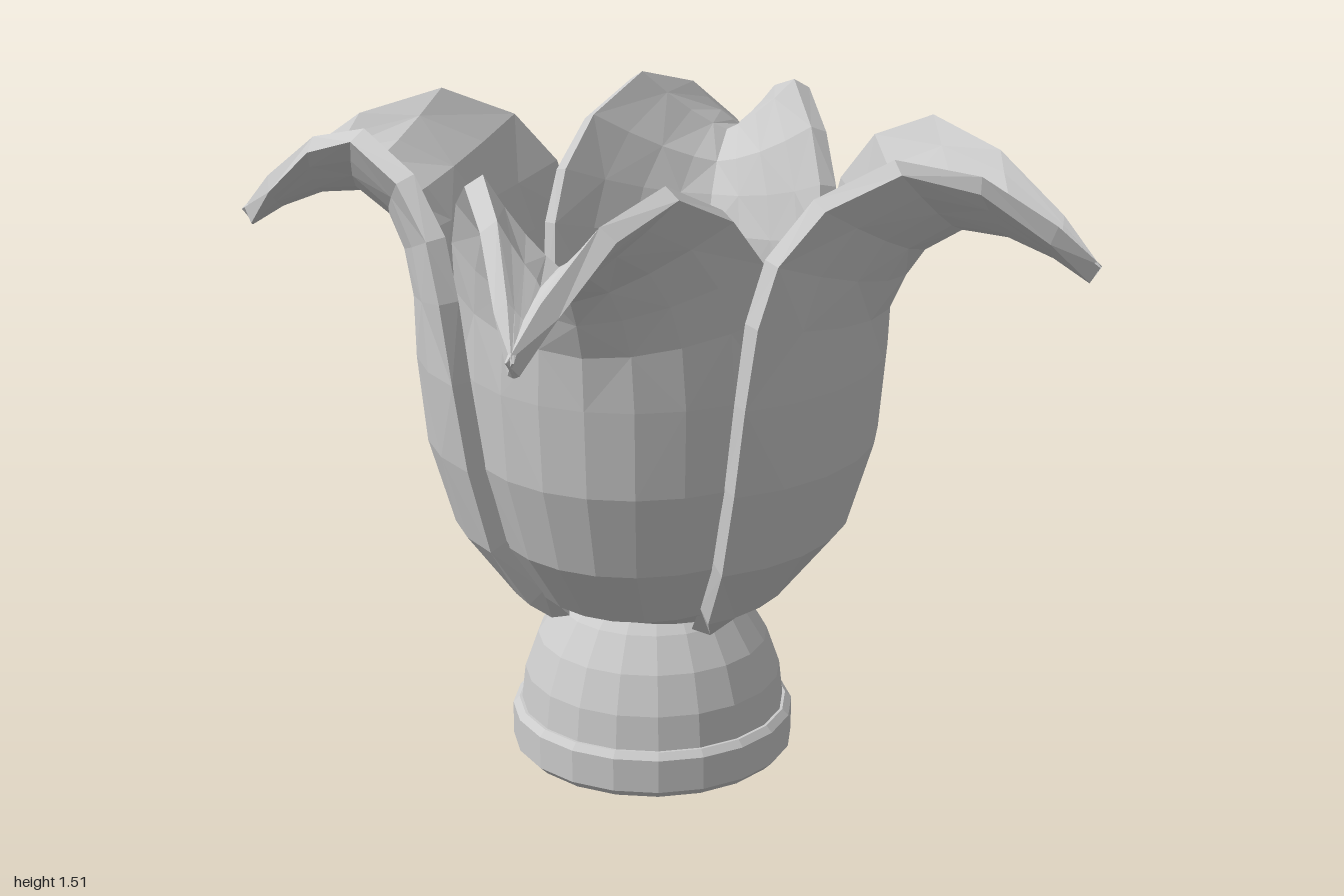
import * as THREE from 'three';

const material = new THREE.MeshStandardMaterial({ color: 0xcccccc, flatShading: true });
const THICKNESS = 0.045;
const HALF = 4; // facets on each side of a petal's midline
const FOLD_ROW = 6; // from this row on the petal folds into a V

// Midline of a petal's outer face: [distance from axis, height]
const midline = [
  [0.19, 0.38], [0.33, 0.44], [0.46, 0.6], [0.52, 0.8], [0.535, 1.0], [0.545, 1.12],
  [0.58, 1.2], [0.62, 1.26], [0.7, 1.31], [0.8, 1.3], [0.9, 1.26], [0.98, 1.21],
];

// Side edges: [half width, distance from axis, height]
const outerEdge = [
  [0.19, 0.19, 0.37], [0.29, 0.21, 0.44], [0.39, 0.265, 0.6], [0.43, 0.3, 0.8],
  [0.445, 0.325, 1.0], [0.445, 0.35, 1.18], [0.42, 0.385, 1.31], [0.365, 0.47, 1.42],
  [0.275, 0.61, 1.485], [0.17, 0.76, 1.43], [0.08, 0.9, 1.31], [0.012, 0.98, 1.215],
];
const innerEdge = [
  [0.19, 0.16, 0.4], [0.24, 0.18, 0.45], [0.3, 0.26, 0.6], [0.35, 0.29, 0.8],
  [0.36, 0.3, 1.0], [0.36, 0.32, 1.18], [0.345, 0.37, 1.3], [0.3, 0.46, 1.41],
  [0.225, 0.61, 1.485], [0.14, 0.76, 1.43], [0.065, 0.9, 1.31], [0.012, 0.98, 1.215],
];

// Point on the outer face, u from -1 (one edge) to 1 (other edge)
function petalPoint(edge, row, u) {
  const [r, y] = midline[row];
  const [w, er, ey] = edge[row];
  const round = (1 - Math.cos(u)) / (1 - Math.cos(1));
  const fold = THREE.MathUtils.clamp((row - FOLD_ROW + 2) / 3, 0, 1);
  const bend = THREE.MathUtils.lerp(round, Math.abs(u) ** 1.4, fold);
  const across = THREE.MathUtils.lerp(Math.sin(u) / Math.sin(1), u, fold);
  return new THREE.Vector3(w * across, y + (ey - y) * bend, r + (er - r) * bend);
}

// Thick petal facing +z: each row is a closed loop of outer then inner points
function petalGeometry(edge) {
  const rows = midline.length, cols = 2 * HALF + 1, loop = 2 * cols;
  const grid = midline.map((_, i) =>
    Array.from({ length: cols }, (_, j) => petalPoint(edge, i, j / HALF - 1)));
  const positions = [], index = [];
  const quad = (a, b, c, d, flip) => flip
    ? index.push(a, b, d, b, c, d) : index.push(a, b, c, a, c, d);

  for (let i = 0; i < rows; i++) {
    const inner = grid[i].map((p, j) => {
      const du = grid[i][Math.min(j + 1, cols - 1)].clone().sub(grid[i][Math.max(j - 1, 0)]);
      const dv = grid[Math.min(i + 1, rows - 1)][j].clone().sub(grid[Math.max(i - 1, 0)][j]);
      return p.clone().addScaledVector(du.cross(dv).normalize(), -THICKNESS);
    });
    for (const p of [...grid[i], ...inner.reverse()]) positions.push(p.x, p.y, p.z);
  }
  for (let i = 0; i < rows - 1; i++) {
    for (let k = 0; k < loop; k++) {
      const n = (k + 1) % loop;
      quad(i * loop + k, i * loop + n, (i + 1) * loop + n, (i + 1) * loop + k, (i + k) % 2);
    }
  }
  // Close the foot and the tip
  const top = (rows - 1) * loop;
  for (let j = 0; j < cols - 1; j++) {
    const a = j, b = j + 1, c = loop - 2 - j, d = loop - 1 - j;
    quad(a, d, c, b);
    quad(top + a, top + b, top + c, top + d);
  }
  const geometry = new THREE.BufferGeometry();
  geometry.setAttribute('position', new THREE.Float32BufferAttribute(positions, 3));
  geometry.setIndex(index);
  const flat = geometry.toNonIndexed();
  flat.computeVertexNormals();
  return flat;
}

function lathe(points, name) {
  const profile = points.map(([r, y]) => new THREE.Vector2(r, y));
  const mesh = new THREE.Mesh(new THREE.LatheGeometry(profile, 20), material);
  mesh.name = name;
  return mesh;
}

export function createModel() {
  const model = new THREE.Group();
  model.name = 'flowerCup';

  // Base rim and the dome that carries the petals
  model.add(lathe([[0, 0], [0.315, 0], [0.335, 0.02], [0.335, 0.1], [0.32, 0.115], [0, 0.115]], 'baseRim'));
  const dome = [];
  for (let i = 0; i <= 6; i++) {
    const a = (i / 6) * Math.PI / 2;
    dome.push([0.315 * Math.cos(a), 0.1 + 0.37 * Math.sin(a)]);
  }
  model.add(lathe(dome, 'dome'));

  // Two inner petals front and back, two wider ones overlapping them at the sides
  const inner = petalGeometry(innerEdge), outer = petalGeometry(outerEdge);
  ['frontPetal', 'leftPetal', 'backPetal', 'rightPetal'].forEach((name, i) => {
    const petal = new THREE.Mesh(i % 2 ? outer : inner, material);
    petal.name = name;
    petal.rotation.y = i * Math.PI / 2;
    model.add(petal);
  });
  return model;
}
